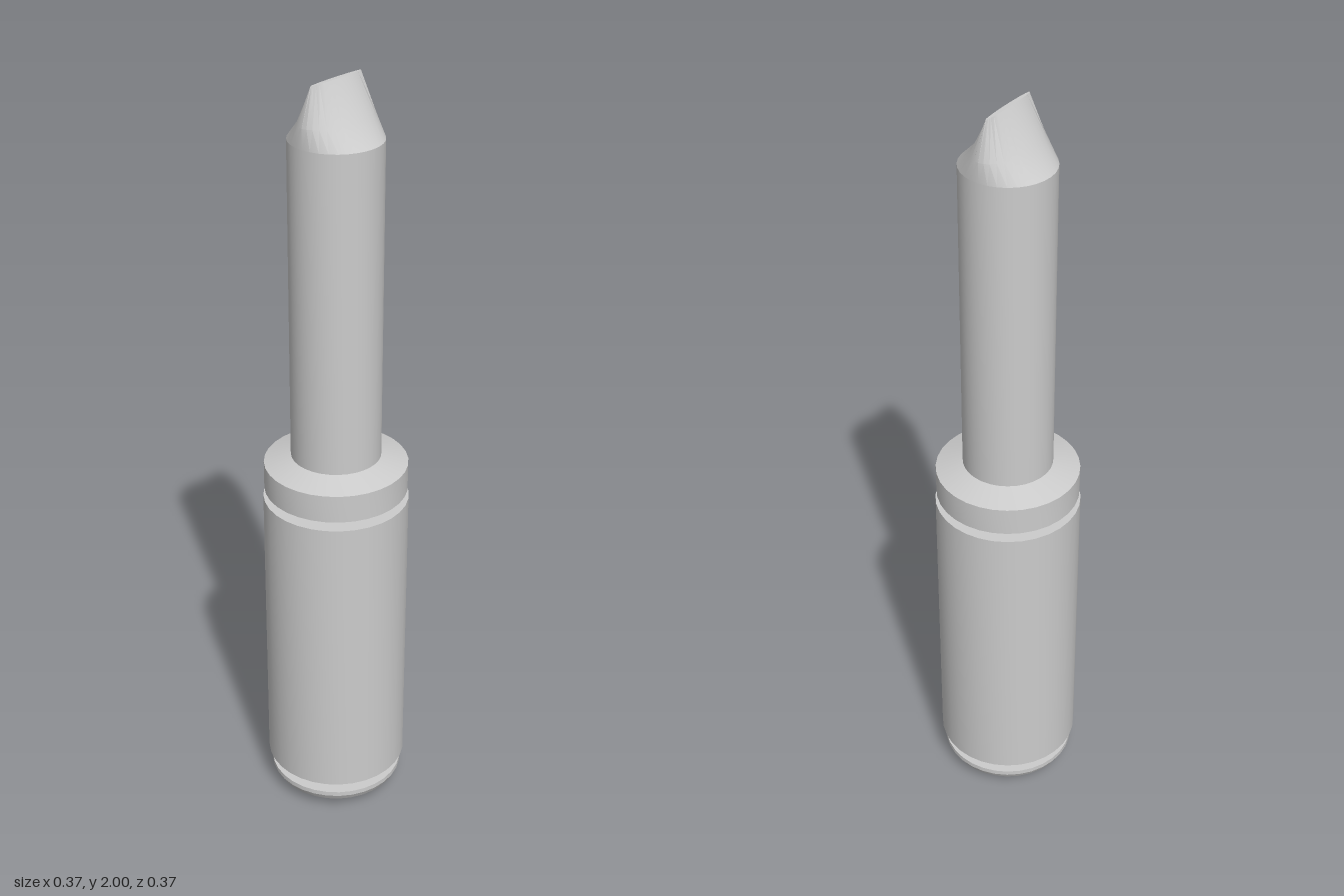
import * as THREE from 'three';
import { toCreasedNormals } from 'three/addons/utils/BufferGeometryUtils.js';

const SIDES = 32;

export function createModel() {
  const group = new THREE.Group();
  const material = new THREE.MeshStandardMaterial({ color: 0xcccccc });

  function add(name, geometry, crease = 0.35) {
    const mesh = new THREE.Mesh(toCreasedNormals(geometry, crease), material);
    mesh.name = name;
    group.add(mesh);
  }

  // Turned part from [radius, height] pairs, bottom to top
  function turned(name, profile) {
    const points = profile.map(([r, y]) => new THREE.Vector2(r, y));
    add(name, new THREE.LatheGeometry(points, SIDES));
  }

  turned('foot', [[0, 0], [0.095, 0.003], [0.14, 0.015], [0.168, 0.034], [0.178, 0.052], [0.178, 0.065], [0, 0.065]]);
  turned('lowerNeck', [[0.145, 0.065], [0.145, 0.1]]);
  turned('body', [[0, 0.1], [0.187, 0.1], [0.187, 0.912], [0, 0.912]]);
  turned('collar', [[0.135, 0.912], [0.184, 0.936], [0.184, 1.01], [0.115, 1.032]]);
  turned('shaft', [[0.115, 1.03], [0.115, 1.86]]);

  // Chisel tip: round at the shaft, narrowing through ellipses to a thin crest
  const sections = [
    { y: 1.86, x: 0.115, z: 0.115 },
    { y: 1.91, x: 0.064, z: 0.115 },
    { y: 2.0, x: 0.006, z: 0.085 },
  ];
  const tip = new THREE.CylinderGeometry(1, 1, 2, SIDES, 2);
  const p = tip.attributes.position;
  for (let i = 0; i < p.count; i++) {
    const s = sections[Math.round(p.getY(i) + 1)];
    p.setXYZ(i, p.getX(i) * s.x, s.y, p.getZ(i) * s.z);
  }
  add('chiselTip', tip);

  return group;
}
